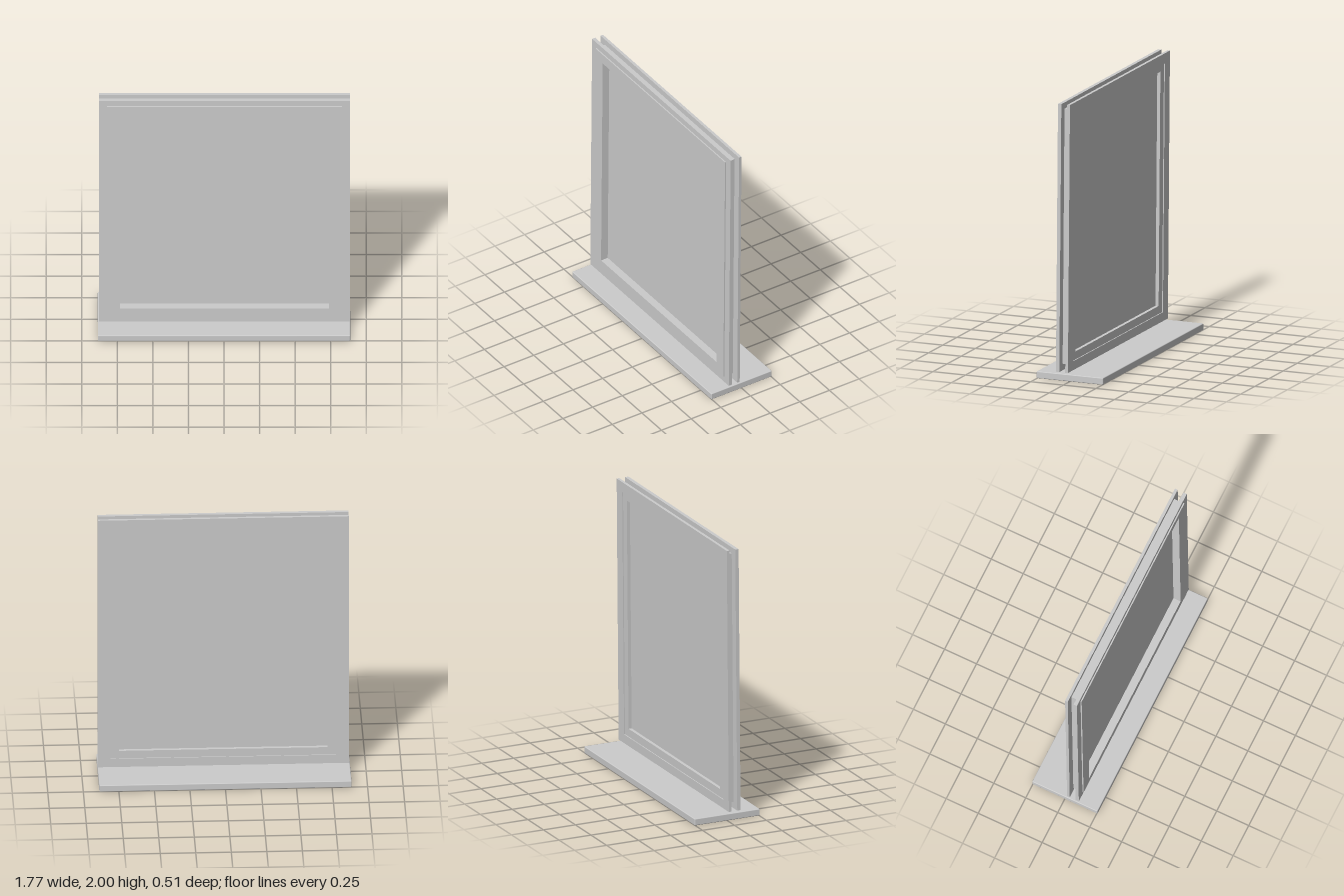
import * as THREE from 'three';
import { RoundedBoxGeometry } from 'three/addons/geometries/RoundedBoxGeometry.js';

const material = new THREE.MeshStandardMaterial({ color: 0xcccccc });

function add(parent, name, geometry) {
  const mesh = new THREE.Mesh(geometry, material);
  mesh.name = name;
  parent.add(mesh);
  return mesh;
}

// Rectangle bounds are [left, bottom, right, top]
function corners([l, b, r, t]) {
  return [[l, b], [r, b], [r, t], [l, t]].map(([x, y]) => new THREE.Vector2(x, y));
}

// Rectangular ring between two bounds, from z = back to z = front
function frame(outer, inner, back, front) {
  const shape = new THREE.Shape(corners(outer));
  shape.holes.push(new THREE.Path(corners(inner).reverse()));
  const geometry = new THREE.ExtrudeGeometry(shape, { depth: front - back, bevelEnabled: false });
  return geometry.translate(0, 0, back);
}

export function createModel() {
  const model = new THREE.Group();
  model.name = 'window';

  // Wide sill board the window stands above
  const sill = add(model, 'sill', new RoundedBoxGeometry(1.775, 0.05, 0.51, 2, 0.006));
  sill.position.y = 0.025;

  // The window leans back very slightly about its mid height
  const sash = new THREE.Group();
  sash.name = 'sash';
  sash.position.y = 1.03;
  sash.rotation.x = -0.008;
  model.add(sash);
  const assembly = new THREE.Group();
  assembly.name = 'windowAssembly';
  assembly.position.y = -1.03;
  sash.add(assembly);

  const trimOuter = [-0.88, 0.06, 0.885, 2.0];
  const coreOuter = [-0.822, 0.108, 0.828, 1.955];
  const opening = [-0.73, 0.183, 0.738, 1.88];

  // Front and back trims, with the thicker casing running through them
  add(assembly, 'frontTrim', frame(trimOuter, coreOuter, 0.073, 0.099));
  add(assembly, 'backTrim', frame(trimOuter, [-0.792, 0.125, 0.797, 1.925], 0.007, 0.028));
  add(assembly, 'casing', frame(coreOuter, opening, 0.014, 0.108));

  // Pane, set nearer the back of the casing
  const pane = add(assembly, 'pane', new THREE.BoxGeometry(1.49, 1.72, 0.014));
  pane.position.set(0.004, 1.0315, 0.045);

  return model;
}
